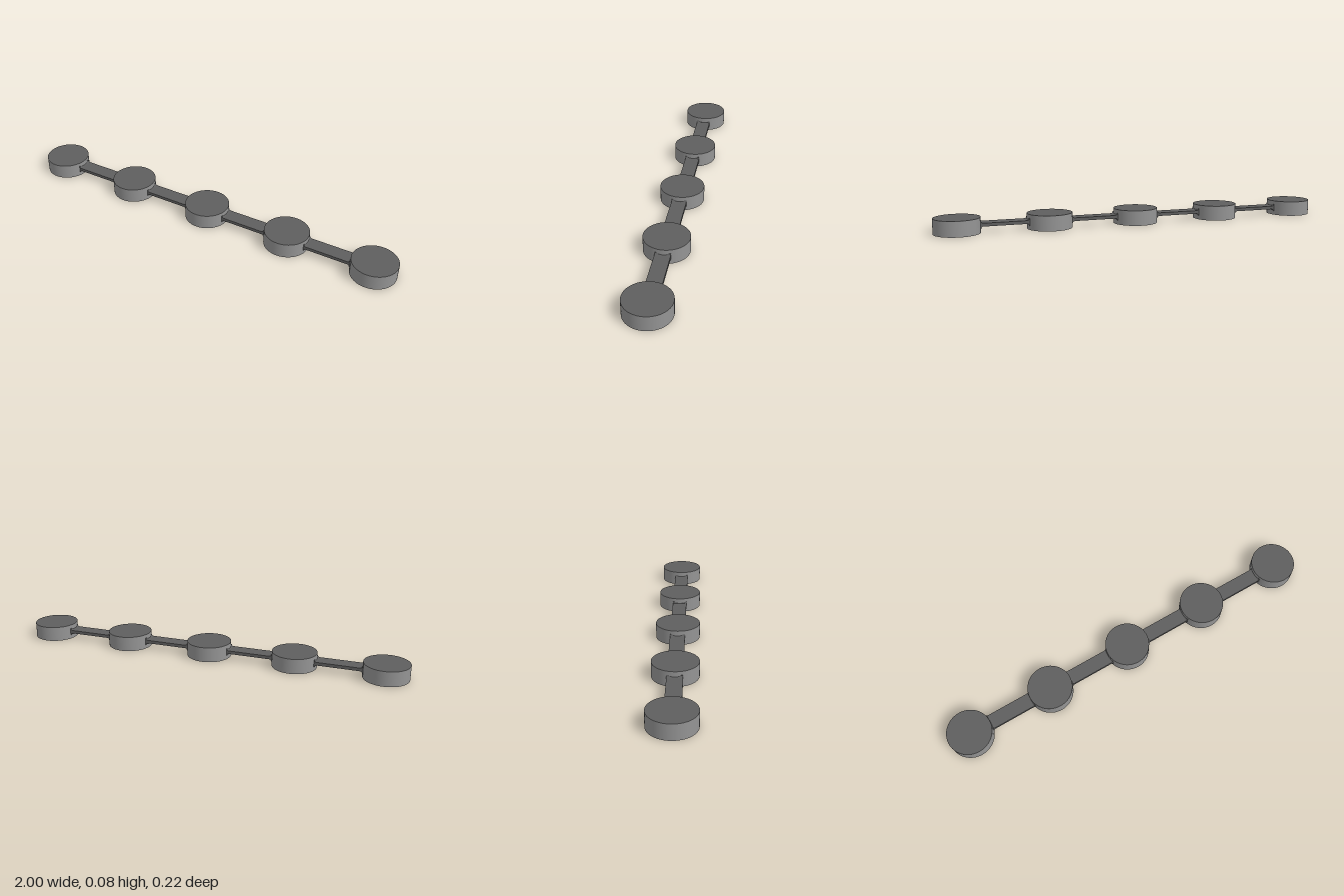
import * as THREE from 'three';

const RADIUS = 0.111, HEIGHT = 0.075, SPACING = 0.4445, MID = HEIGHT / 2 + 0.001;

export function createModel() {
  const group = new THREE.Group();
  const rimGrey = new THREE.MeshStandardMaterial({ color: 0x949494 });
  rimGrey.name = 'rim grey';
  const darkGrey = new THREE.MeshStandardMaterial({ color: 0x5f5f5f });
  darkGrey.name = 'dark grey';

  // Row of five round pads with lighter rims and dark faces
  const padGeometry = new THREE.CylinderGeometry(RADIUS, RADIUS, HEIGHT, 64);
  for (let i = -2; i <= 2; i++) {
    const pad = new THREE.Mesh(padGeometry, [rimGrey, darkGrey, darkGrey]);
    pad.name = `pad${i + 3}`;
    pad.position.set(i * SPACING, HEIGHT / 2, 0);
    group.add(pad);
  }

  // Flat strap whose ends flare slightly where they meet the pads
  const half = SPACING / 2, thin = 0.008, thick = 0.018, width = 0.074;
  const flareStart = half - RADIUS - 0.008, flareEnd = half - RADIUS + 0.003;
  const buried = half - 0.09;
  const profile = new THREE.Shape();
  profile.moveTo(-buried, -thick);
  profile.lineTo(-flareEnd, -thick);
  profile.quadraticCurveTo(-flareEnd, -thin, -flareStart, -thin);
  profile.lineTo(flareStart, -thin);
  profile.quadraticCurveTo(flareEnd, -thin, flareEnd, -thick);
  profile.lineTo(buried, -thick);
  profile.lineTo(buried, thick);
  profile.lineTo(flareEnd, thick);
  profile.quadraticCurveTo(flareEnd, thin, flareStart, thin);
  profile.lineTo(-flareStart, thin);
  profile.quadraticCurveTo(-flareEnd, thin, -flareEnd, thick);
  profile.lineTo(-buried, thick);
  profile.closePath();
  const strapGeometry = new THREE.ExtrudeGeometry(profile, { depth: width, bevelEnabled: false, curveSegments: 6 });
  strapGeometry.translate(0, 0, -width / 2);

  for (let i = 0; i < 4; i++) {
    const strap = new THREE.Mesh(strapGeometry, darkGrey);
    strap.name = `strap${i + 1}`;
    strap.position.set((i - 1.5) * SPACING, MID, 0);
    group.add(strap);
  }
  return group;
}
